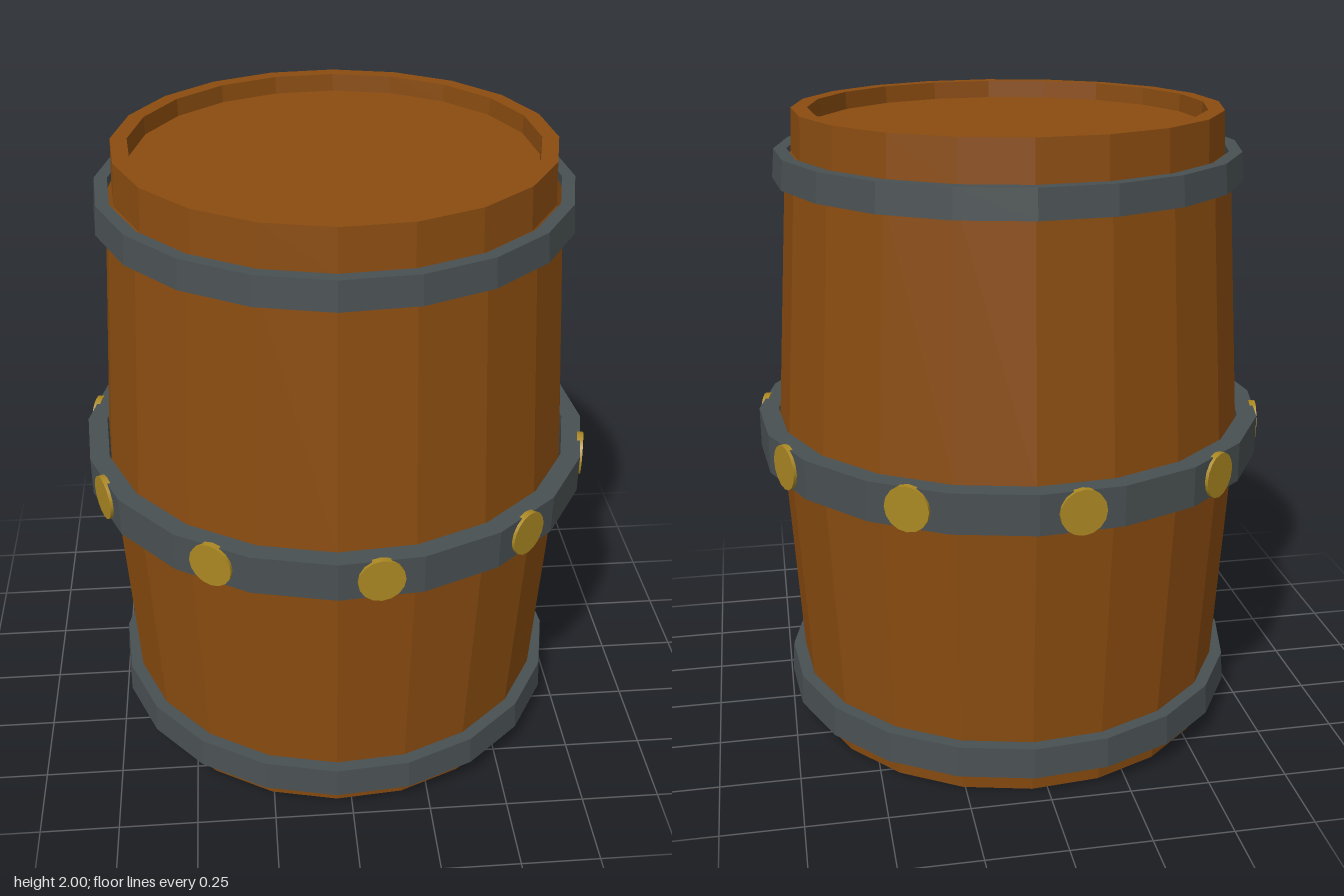
import * as THREE from 'three';

const SIDES = 20;
const PHASE = THREE.MathUtils.degToRad(-4);

// Faceted solid of revolution; profile runs counter-clockwise as [radius, y]
function turned(name, profile, material) {
  const points = profile.map(([r, y]) => new THREE.Vector2(r, y));
  const geometry = new THREE.LatheGeometry(points, SIDES, PHASE).toNonIndexed();
  geometry.computeVertexNormals();
  const mesh = new THREE.Mesh(geometry, material);
  mesh.name = name;
  return mesh;
}

// Closed hoop between two heights, with its own radius at each end
function hoop(name, y0, y1, outer0, outer1, inner0, inner1, material) {
  return turned(name, [
    [outer0, y0], [outer1, y1], [inner1, y1], [inner0, y0], [outer0, y0],
  ], material);
}

export function createModel() {
  const wood = new THREE.MeshStandardMaterial({ color: 0x8a4c10 });
  wood.name = 'wood';
  const iron = new THREE.MeshStandardMaterial({ color: 0x495052 });
  iron.name = 'iron';
  const brass = new THREE.MeshStandardMaterial({ color: 0xab8823 });
  brass.name = 'brass';

  const barrel = new THREE.Group();
  barrel.name = 'barrel';

  // Bulging staves, neck, rim and recessed lid
  barrel.add(turned('body', [
    [0, 0], [0.685, 0], [0.702, 0.18], [0.743, 0.92], [0.743, 1.03],
    [0.688, 1.83], [0.668, 1.87], [0.662, 2], [0.612, 2], [0.61, 1.945], [0, 1.945],
  ], wood));

  // Three iron hoops
  barrel.add(hoop('bottomHoop', 0.08, 0.178, 0.748, 0.742, 0.69, 0.7, iron));
  barrel.add(hoop('middleHoop', 0.915, 1.04, 0.81, 0.81, 0.748, 0.748, iron));
  barrel.add(hoop('topHoop', 1.79, 1.878, 0.728, 0.72, 0.688, 0.68, iron));

  // Brass rivets on every second face of the middle hoop
  const rivets = new THREE.Group();
  rivets.name = 'rivets';
  const disc = new THREE.CylinderGeometry(0.07, 0.07, 0.02, 16).rotateX(Math.PI / 2);
  for (let i = 0; i < 10; i++) {
    const angle = PHASE + ((2 * i + 0.5) * 2 * Math.PI) / SIDES;
    const rivet = new THREE.Mesh(disc, brass);
    rivet.name = 'rivet';
    rivet.position.set(Math.sin(angle) * 0.8, 0.976, Math.cos(angle) * 0.8);
    rivet.rotation.y = angle;
    rivets.add(rivet);
  }
  barrel.add(rivets);
  return barrel;
}
